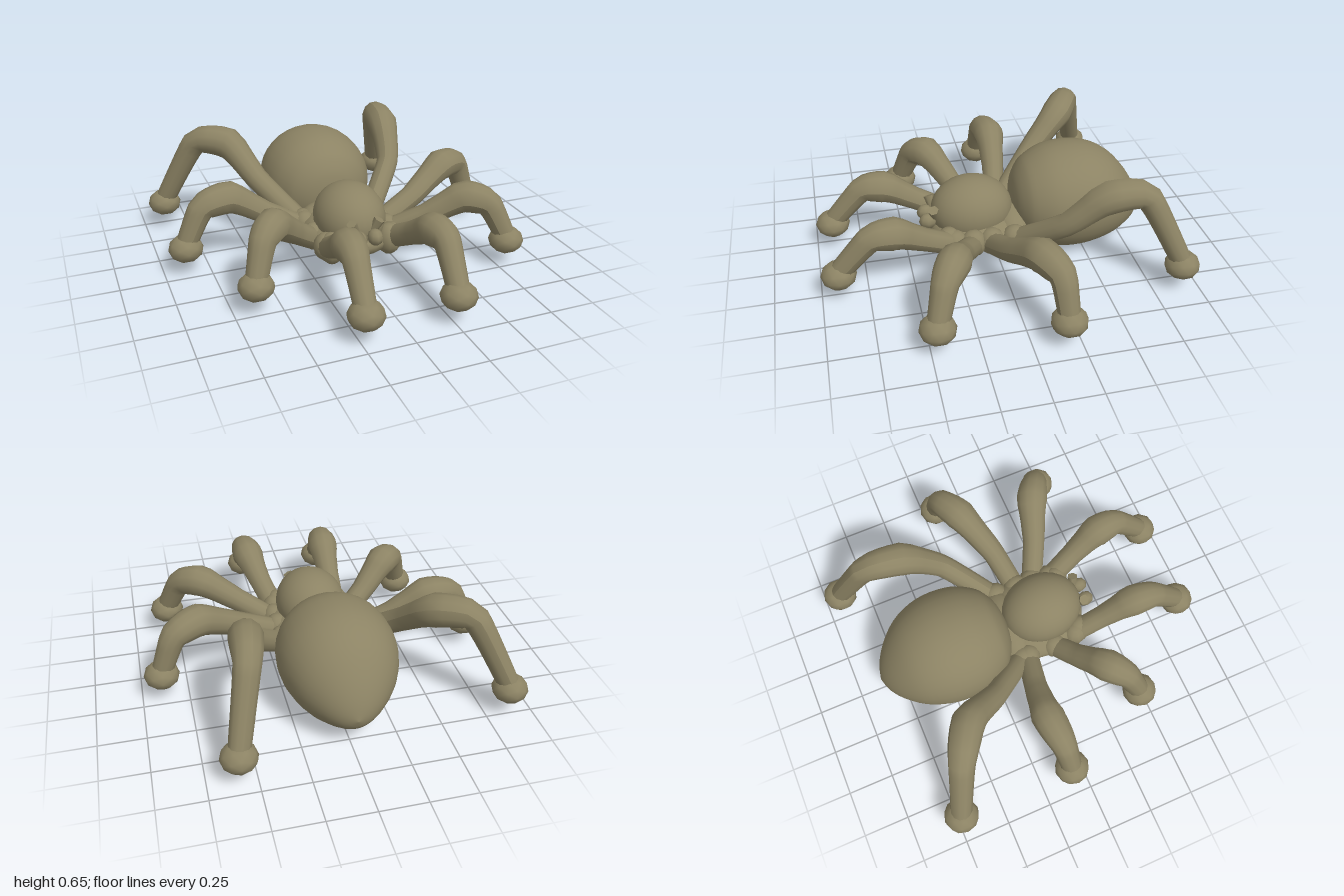
import * as THREE from 'three';

const V = (a) => new THREE.Vector3(...a);

export function createModel() {
  const model = new THREE.Group();
  const skin = new THREE.MeshStandardMaterial({ color: 0x8c8364 });
  skin.name = 'olive brown';

  function add(name, geometry, parent = model) {
    const mesh = new THREE.Mesh(geometry, skin);
    mesh.name = name;
    parent.add(mesh);
    return mesh;
  }

  function ball(name, center, radii, w, h, parent) {
    const mesh = add(name, new THREE.SphereGeometry(1, w, h), parent);
    mesh.position.set(...center);
    mesh.scale.set(...radii);
    return mesh;
  }

  // Abdomen: egg profile turned around z, with the tail drooping to a low tip
  const profile = new THREE.SplineCurve([
    [0, -0.855], [0.08, -0.83], [0.165, -0.77], [0.25, -0.67], [0.3, -0.55], [0.316, -0.43],
    [0.3, -0.3], [0.25, -0.2], [0.2, -0.15], [0.12, -0.11], [0, -0.09],
  ].map(([r, z]) => new THREE.Vector2(r, z))).getPoints(30);
  profile.forEach((p) => { p.x = Math.max(0, p.x); });
  const egg = new THREE.LatheGeometry(profile, 32);
  egg.rotateX(Math.PI / 2);
  const ep = egg.attributes.position;
  for (let i = 0; i < ep.count; i++) {
    const t = Math.max(0, (-0.42 - ep.getZ(i)) / 0.43);
    ep.setXYZ(i, ep.getX(i) - 0.013, ep.getY(i) * 0.965 + 0.305 - 0.1 * t ** 3, ep.getZ(i));
  }
  egg.computeVertexNormals();
  add('abdomen', egg);

  // Head dome, underside and waist
  ball('headDome', [-0.003, 0.285, 0.13], [0.195, 0.19, 0.23], 28, 18);
  ball('underside', [0, 0.185, 0.09], [0.255, 0.11, 0.28], 24, 14);
  ball('waist', [0, 0.19, -0.08], [0.23, 0.115, 0.12], 18, 12);

  // Small face parts, mirrored
  for (const s of [1, -1]) {
    const face = new THREE.Group();
    face.name = s > 0 ? 'leftFace' : 'rightFace';
    model.add(face);
    ball('fang', [s * 0.045, 0.262, 0.385], [0.042, 0.045, 0.05], 8, 6, face);
    const stalk = add('faceStalk', new THREE.CylinderGeometry(0.03, 0.02, 0.085, 6), face);
    stalk.position.set(s * 0.06, 0.31, 0.35);
    stalk.rotation.set(0.2, 0, -s * 0.45);
    ball('jaw', [s * 0.165, 0.19, 0.29], [0.07, 0.09, 0.075], 10, 8, face);
  }

  // Tube whose radius follows a list of values along its length
  function taperedTube(points, radii) {
    const curve = new THREE.CatmullRomCurve3(points.map(V), false, 'catmullrom', 0.25);
    const segments = 24, sides = 12;
    const geometry = new THREE.TubeGeometry(curve, segments, 1, sides);
    const pos = geometry.attributes.position;
    const p = new THREE.Vector3();
    for (let i = 0; i <= segments; i++) {
      const center = curve.getPointAt(i / segments);
      const f = curve.getUtoTmapping(i / segments) * (radii.length - 1);
      const k = Math.min(Math.floor(f), radii.length - 2);
      const r = THREE.MathUtils.lerp(radii[k], radii[k + 1], f - k);
      for (let j = 0; j <= sides; j++) {
        const n = i * (sides + 1) + j;
        p.fromBufferAttribute(pos, n).sub(center).multiplyScalar(r).add(center);
        pos.setXYZ(n, p.x, p.y, p.z);
      }
    }
    geometry.computeVertexNormals();
    return geometry;
  }

  // Legs: hip, thigh, knee, shin, foot; every leg has its own pose
  const radii = [0.06, 0.062, 0.064, 0.073, 0.091, 0.085, 0.072, 0.063, 0.056];
  const legs = {
    leftFrontLeg: [[0.18, 0.18, 0.26], [0.235, 0.28, 0.44], [0.272, 0.365, 0.59], [0.285, 0.36, 0.72], [0.27, 0.16, 0.9]],
    rightFrontLeg: [[-0.18, 0.18, 0.26], [-0.187, 0.28, 0.44], [-0.195, 0.365, 0.59], [-0.205, 0.36, 0.72], [-0.22, 0.16, 0.9]],
    leftSecondLeg: [[0.2, 0.17, 0.16], [0.4, 0.275, 0.26], [0.59, 0.385, 0.33], [0.71, 0.355, 0.4], [0.8, 0.16, 0.46]],
    rightSecondLeg: [[-0.2, 0.17, 0.12], [-0.34, 0.275, 0.2], [-0.48, 0.39, 0.3], [-0.565, 0.355, 0.385], [-0.63, 0.16, 0.46]],
    leftThirdLeg: [[0.2, 0.17, 0.06], [0.43, 0.28, 0.01], [0.66, 0.402, -0.09], [0.8, 0.37, -0.16], [0.885, 0.16, -0.18]],
    rightThirdLeg: [[-0.2, 0.17, -0.04], [-0.42, 0.28, -0.085], [-0.61, 0.392, -0.105], [-0.77, 0.365, -0.085], [-0.875, 0.16, -0.07]],
    leftBackLeg: [[0.2, 0.17, -0.07], [0.415, 0.385, -0.3], [0.465, 0.55, -0.49], [0.492, 0.55, -0.7], [0.585, 0.16, -0.9]],
    rightBackLeg: [[-0.2, 0.17, -0.07], [-0.395, 0.385, -0.31], [-0.505, 0.55, -0.5], [-0.68, 0.55, -0.61], [-0.875, 0.16, -0.72]],
  };
  for (const [name, points] of Object.entries(legs)) {
    const leg = new THREE.Group();
    leg.name = name;
    model.add(leg);
    add('limb', taperedTube(points, radii), leg);
    const [hx, , hz] = points[0];
    ball('hip', [hx * 1.03, 0.19, hz], [0.07, 0.078, 0.075], 10, 8, leg);
    const [fx, , fz] = points[4];
    const foot = add('foot', new THREE.IcosahedronGeometry(1, 1), leg);
    foot.position.set(fx, 0.147, fz);
    foot.scale.set(0.096, 0.076, 0.096);
  }
  return model;
}
